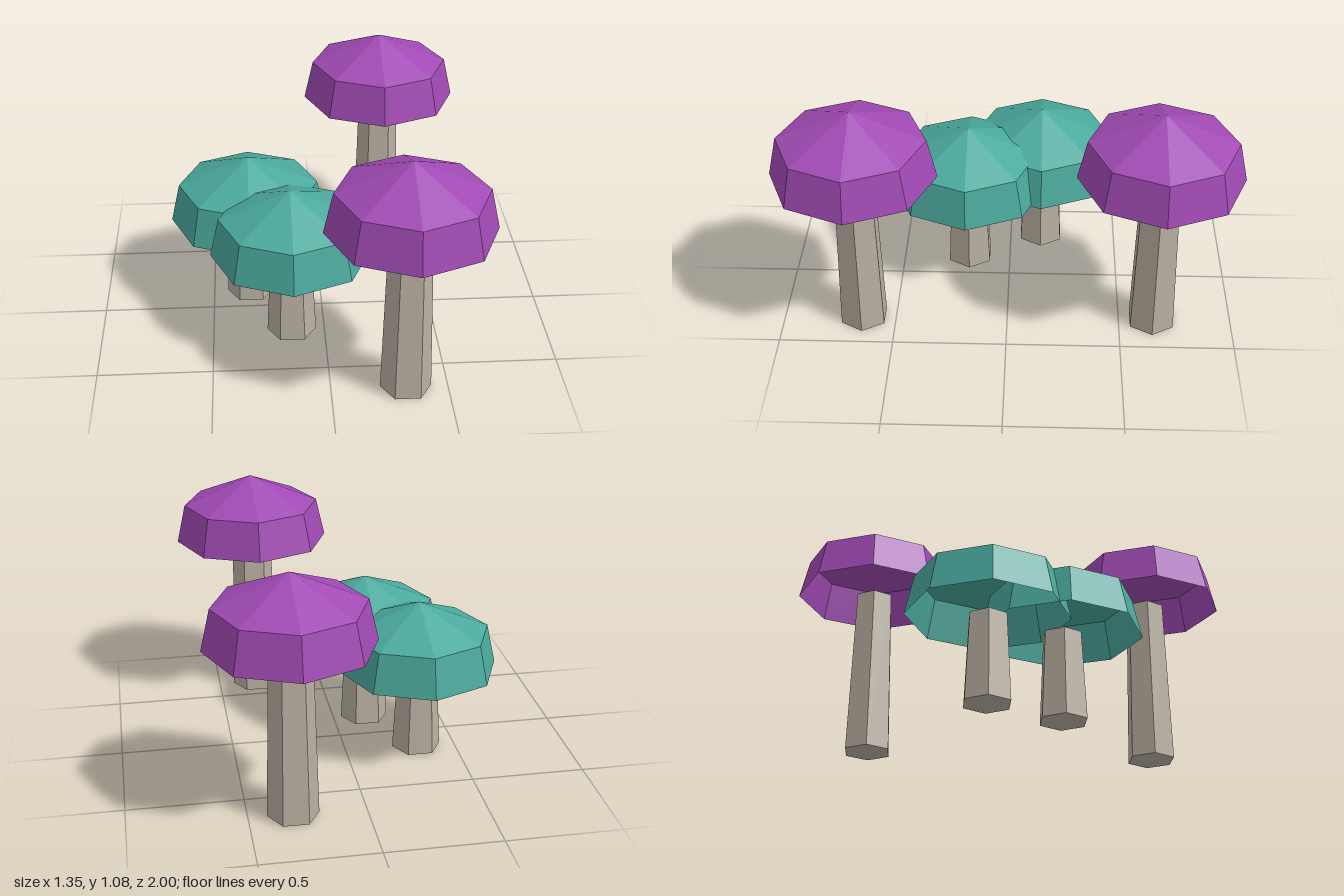
import * as THREE from 'three';

const stemMat = new THREE.MeshStandardMaterial({ color: 0xb9b0a2, flatShading: true });
stemMat.name = 'stem beige';
const purpleMat = new THREE.MeshStandardMaterial({ color: 0xa04ab4, flatShading: true, side: THREE.DoubleSide });
purpleMat.name = 'cap purple';
const tealMat = new THREE.MeshStandardMaterial({ color: 0x4aa99d, flatShading: true, side: THREE.DoubleSide });
tealMat.name = 'cap teal';

// Hollow eight-sided cap, open underneath, with its rim at y = 0
const capGeo = new THREE.LatheGeometry([
  new THREE.Vector2(0.354, 0),
  new THREE.Vector2(0.314, 0.177),
  new THREE.Vector2(0, 0.31),
], 8);

function mushroom(name, x, z, height, capMat) {
  const group = new THREE.Group();
  group.name = name;
  group.position.set(x, 0, z);

  // Tapered six-sided stem with corners on the x axis
  const stemGeo = new THREE.CylinderGeometry(0.09, 0.11, height, 6);
  stemGeo.rotateY(Math.PI / 6).translate(0, height / 2, 0);
  const stem = new THREE.Mesh(stemGeo, stemMat);
  stem.name = 'stem';

  const cap = new THREE.Mesh(capGeo, capMat);
  cap.name = 'cap';
  cap.position.y = height;

  group.add(stem, cap);
  return group;
}

export function createModel() {
  const model = new THREE.Group();
  model.name = 'mushroomCluster';
  model.add(
    mushroom('tallMushroomFront', 0.32, 0.645, 0.767, purpleMat),
    mushroom('tallMushroomBack', 0.31, -0.646, 0.767, purpleMat),
    mushroom('shortMushroomFront', -0.147, 0.19, 0.401, tealMat),
    mushroom('shortMushroomBack', -0.326, -0.144, 0.395, tealMat),
  );
  return model;
}
